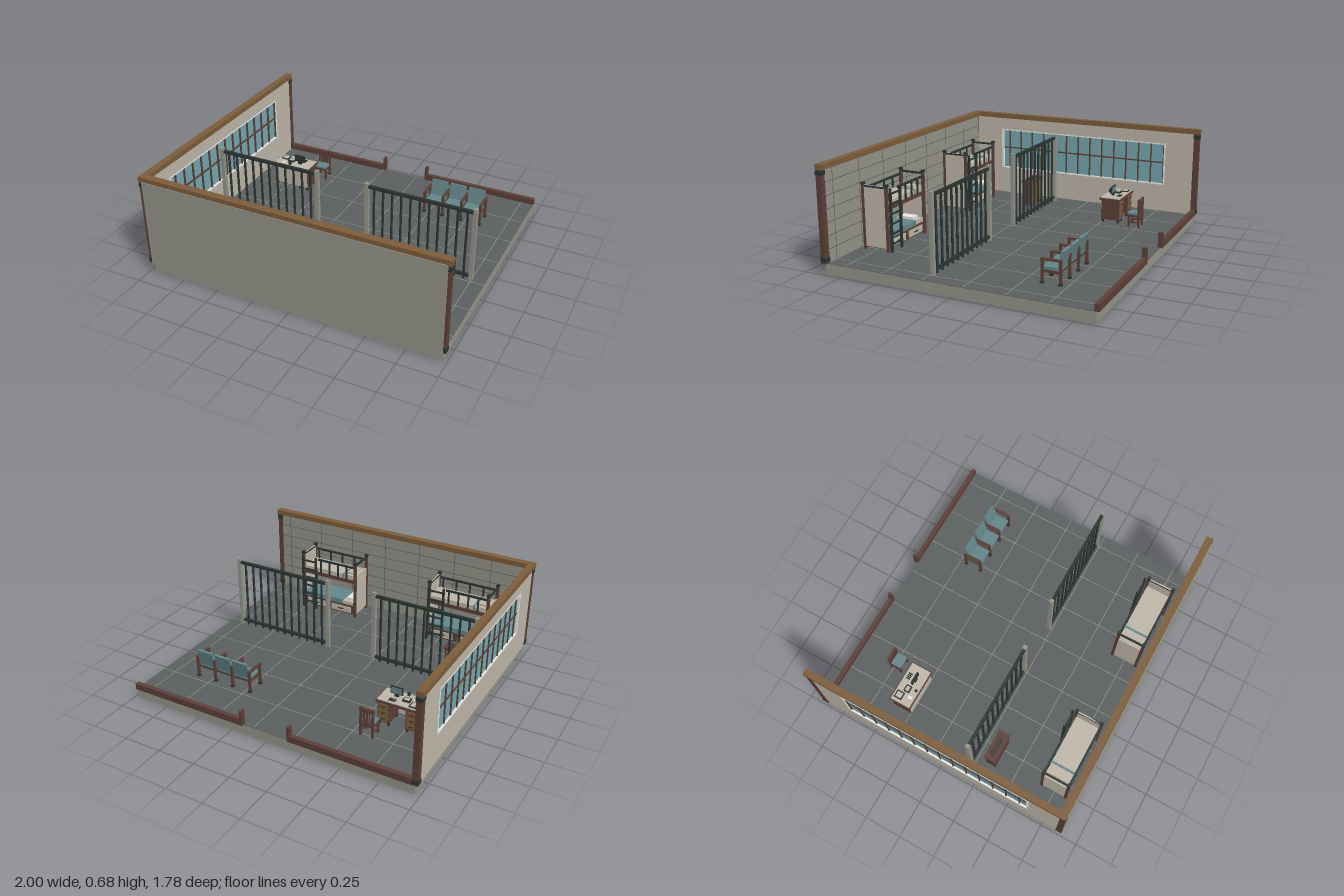
import * as THREE from 'three';

const paint = (name, color) => Object.assign(new THREE.MeshStandardMaterial({ color }), { name });
const concrete = paint('concrete', 0x96958a);
const plaster = paint('plaster', 0xbfb7a9);
const oak = paint('oak', 0x7c5d3b);
const darkWood = paint('dark wood', 0x5c4038);
const metal = paint('dark metal', 0x2b3534);
const glass = paint('glass', 0x76a8af);
const cushion = paint('teal cushion', 0x64878a);
const floorGrey = paint('floor grey', 0x5c6060);
const white = paint('white', 0xf2f2f0);

// Box from its limits along x, y and z
function box(parent, name, mat, x0, x1, y0, y1, z0, z1) {
  const mesh = new THREE.Mesh(new THREE.BoxGeometry(x1 - x0, y1 - y0, z1 - z0), mat);
  mesh.position.set((x0 + x1) / 2, (y0 + y1) / 2, (z0 + z1) / 2);
  mesh.name = name;
  parent.add(mesh);
  return mesh;
}

// Upright square post centred on x, z
const post = (p, name, mat, x, z, y0, y1, w) => box(p, name, mat, x - w / 2, x + w / 2, y0, y1, z - w / 2, z + w / 2);

function part(parent, name) {
  const g = new THREE.Group();
  g.name = name;
  parent.add(g);
  return g;
}

const F = 0.07; // floor level

function buildFloor(root) {
  const g = part(root, 'floor');
  box(g, 'slab', concrete, -0.97, 0.975, 0, F - 0.003, -0.87, 0.866);
  box(g, 'floorSurface', floorGrey, -0.97, 0.975, F - 0.003, F, -0.87, 0.866);
  for (let x = -0.706; x < 0.95; x += 0.2655) box(g, 'floorJoint', concrete, x - 0.002, x + 0.002, F, F + 0.001, -0.86, 0.845);
  for (let z = -0.604; z < 0.8; z += 0.266) box(g, 'floorJoint', concrete, -0.96, 0.975, F, F + 0.001, z - 0.002, z + 0.002);
}

function buildWalls(root) {
  const g = part(root, 'walls');
  // Front wall with block joints on the inside
  box(g, 'frontWall', concrete, -0.972, 0.978, F, 0.655, 0.848, 0.889);
  for (let y = 0.155; y < 0.64; y += 0.083) box(g, 'wallJoint', floorGrey, -0.955, 0.96, y - 0.002, y + 0.002, 0.847, 0.849);
  for (let x = -0.706; x < 0.95; x += 0.2655) box(g, 'wallJoint', floorGrey, x - 0.002, x + 0.002, F, 0.65, 0.847, 0.849);
  // Side wall around the window opening
  const X0 = -0.988, X1 = -0.958;
  box(g, 'wallBelowWindow', plaster, X0, X1, F, 0.263, -0.87, 0.85);
  box(g, 'wallAboveWindow', plaster, X0, X1, 0.565, 0.655, -0.87, 0.85);
  box(g, 'wallBesideWindow', plaster, X0, X1, 0.263, 0.565, 0.645, 0.85);
  box(g, 'wallBesideWindow', plaster, X0, X1, 0.263, 0.565, -0.87, -0.65);
  // Beams along the tops
  box(g, 'sideBeam', oak, -0.998, -0.955, 0.65, 0.684, -0.89, 0.885);
  box(g, 'frontBeam', oak, -0.955, 0.998, 0.65, 0.684, 0.837, 0.885);
  // Corner posts with brackets
  for (const [x, z] of [[-0.973, -0.868], [-0.973, 0.866], [0.977, 0.866]]) {
    post(g, 'cornerPost', darkWood, x, z, F, 0.65, 0.037);
    post(g, 'bracket', metal, x, z, 0.617, 0.643, 0.042);
    post(g, 'bracket', metal, x, z, 0.08, 0.107, 0.042);
  }
  // Low rear kerb with an entrance gap
  for (const [x0, x1, xp] of [[-0.955, -0.155, -0.163], [0.16, 0.975, 0.168]]) {
    box(g, 'rearKerb', darkWood, x0, x1, F - 0.002, 0.11, -0.886, -0.857);
    box(g, 'entrancePost', darkWood, xp - 0.009, xp + 0.009, F, 0.17, -0.888, -0.855);
  }
}

function buildWindow(root) {
  const g = part(root, 'window');
  const x0 = -0.99, x1 = -0.956;
  box(g, 'pane', glass, -0.977, -0.969, 0.265, 0.563, -0.648, 0.643);
  for (const [y0, y1] of [[0.263, 0.272], [0.556, 0.565]]) box(g, 'frameRail', white, x0, x1, y0, y1, -0.65, 0.645);
  for (const [z0, z1] of [[-0.65, -0.638], [0.63, 0.645]]) box(g, 'frameStile', white, x0, x1, 0.272, 0.556, z0, z1);
  for (let i = 0; i < 14; i++) {
    const z = 0.58 - i * 0.0935;
    box(g, 'mullion', darkWood, -0.985, -0.958, 0.27, 0.562, z - 0.004, z + 0.004);
  }
  box(g, 'transom', darkWood, -0.984, -0.959, 0.421, 0.429, -0.648, 0.625);
}

// Barred partition from x0 to x1
function buildBars(root, x0, x1) {
  const g = part(root, 'barredPartition');
  const z = 0.172, n = 12;
  for (const x of [x0 + 0.012, x1 - 0.012]) post(g, 'endPost', concrete, x, z, F, 0.575, 0.025);
  for (const y of [0.1, 0.55]) box(g, 'rail', metal, x0 + 0.02, x1 - 0.02, y - 0.009, y + 0.009, z - 0.01, z + 0.01);
  for (let i = 1; i < n; i++) {
    const bar = new THREE.Mesh(new THREE.CylinderGeometry(0.008, 0.008, 0.49, 8), metal);
    bar.position.set(x0 + (x1 - x0) * i / n, F + 0.245, z);
    bar.name = 'bar';
    g.add(bar);
  }
}

function buildBunk(root, x) {
  const g = part(root, 'bunkBed');
  g.position.x = x;
  const L = 0.213, z0 = 0.635, z1 = 0.805;
  for (const px of [-L, L]) {
    for (const z of [z0, z1]) {
      post(g, 'bedPost', darkWood, px, z, F, 0.49, 0.018);
      post(g, 'postCap', metal, px, z, 0.488, 0.503, 0.022);
    }
    box(g, 'endPanel', plaster, px - 0.005, px + 0.005, 0.09, px > 0 ? 0.487 : 0.4, z0 + 0.008, z1 - 0.008);
    box(g, 'endRail', metal, px - 0.006, px + 0.006, 0.475, 0.487, z0, z1);
  }
  // Lower bunk with drawers
  box(g, 'lowerFrame', darkWood, -L, L, 0.085, 0.155, z0, z1);
  box(g, 'lowerMattress', plaster, -0.2, 0.2, 0.155, 0.18, z0 + 0.003, z1 - 0.003);
  box(g, 'lowerBlanket', cushion, -0.11, 0.203, 0.153, 0.187, z0, z1);
  box(g, 'lowerPillow', white, -0.19, -0.13, 0.18, 0.197, z0 + 0.035, z1 - 0.035);
  for (const dx of [-0.1, 0.1]) {
    box(g, 'drawerFront', plaster, dx - 0.08, dx + 0.08, 0.095, 0.14, z0 - 0.006, z0);
    box(g, 'drawerPull', metal, dx - 0.02, dx + 0.02, 0.115, 0.122, z0 - 0.011, z0 - 0.006);
  }
  // Upper bunk
  box(g, 'upperFrame', darkWood, -L, L, 0.335, 0.36, z0, z1);
  box(g, 'upperMattress', plaster, -0.203, 0.205, 0.36, 0.392, z0 + 0.006, z1 - 0.01);
  box(g, 'blanketFold', cushion, -0.122, -0.108, 0.36, 0.395, z0 + 0.004, z1 - 0.008);
  box(g, 'upperPillow', plaster, -0.187, -0.135, 0.392, 0.406, z0 + 0.03, z1 - 0.035);
  // Guard rails
  for (const z of [z0, z1]) {
    const end = z === z0 ? 0.09 : L;
    box(g, 'guardRail', metal, -L, end, 0.455, 0.468, z - 0.006, z + 0.006);
    for (let i = 1; i < 5; i++) post(g, 'guardPost', metal, -L + (end + L) * i / 4.3, z, 0.36, 0.46, 0.01);
  }
  // Ladder
  for (const dx of [0.098, 0.205]) box(g, 'ladderRail', metal, dx - 0.006, dx + 0.006, F, 0.48, 0.604, 0.62);
  for (let y = 0.12; y < 0.48; y += 0.065) box(g, 'ladderRung', metal, 0.098, 0.205, y - 0.005, y + 0.005, 0.607, 0.617);
}

function buildBench(root) {
  const g = part(root, 'waitingSeats');
  box(g, 'seatBeam', darkWood, 0.325, 0.72, 0.135, 0.15, -0.55, -0.45);
  for (let i = 0; i < 4; i++) {
    const x = 0.323 + i * 0.133;
    post(g, 'frontLeg', darkWood, x, -0.446, F, 0.215, 0.015);
    post(g, 'rearLeg', darkWood, x, -0.56, F, 0.215, 0.015);
    for (const z of [-0.446, -0.56]) post(g, 'foot', metal, x, z, F, 0.082, 0.021);
    box(g, 'armrest', darkWood, x - 0.009, x + 0.009, 0.21, 0.222, -0.568, -0.438);
  }
  for (let i = 0; i < 3; i++) {
    const x = 0.3895 + i * 0.133;
    box(g, 'seatCushion', cushion, x - 0.056, x + 0.056, 0.148, 0.167, -0.55, -0.442);
    box(g, 'backCushion', cushion, x - 0.056, x + 0.056, 0.165, 0.272, -0.561, -0.545).rotation.x = -0.2;
  }
}

function buildDesk(root) {
  const g = part(root, 'desk');
  const x0 = -0.8, x1 = -0.517, z0 = -0.472, z1 = -0.322;
  box(g, 'deskTop', darkWood, x0, x1, 0.226, 0.241, z0, z1);
  box(g, 'deskSurface', plaster, x0 + 0.006, x1 - 0.006, 0.241, 0.245, z0 + 0.006, z1 - 0.006);
  box(g, 'frontPanel', plaster, x0 + 0.015, x1 - 0.015, 0.095, 0.226, z1 - 0.016, z1 - 0.008);
  for (const a of [x0 + 0.01, x1 - 0.09]) {
    box(g, 'pedestal', darkWood, a, a + 0.08, 0.09, 0.226, z0 + 0.01, z1 - 0.012);
    for (let i = 0; i < 3; i++) {
      const y = 0.1 + i * 0.042;
      box(g, 'drawerFront', oak, a + 0.007, a + 0.073, y, y + 0.034, z0 + 0.004, z0 + 0.01);
      box(g, 'drawerPull', metal, a + 0.028, a + 0.052, y + 0.014, y + 0.02, z0, z0 + 0.004);
    }
    for (const lx of [a + 0.01, a + 0.07]) for (const z of [z0 + 0.02, z1 - 0.022]) post(g, 'deskFoot', metal, lx, z, F, 0.09, 0.014);
  }
  // Things on the desk
  box(g, 'folder', metal, -0.775, -0.722, 0.245, 0.25, -0.455, -0.4);
  box(g, 'paper', plaster, -0.767, -0.73, 0.25, 0.252, -0.447, -0.408);
  box(g, 'screen', metal, -0.655, -0.575, 0.262, 0.31, -0.392, -0.382);
  box(g, 'screenFace', cushion, -0.65, -0.58, 0.267, 0.305, -0.394, -0.392);
  box(g, 'screenStand', metal, -0.628, -0.602, 0.245, 0.265, -0.395, -0.378);
  box(g, 'tray', metal, -0.712, -0.665, 0.245, 0.256, -0.42, -0.38);
  box(g, 'trayPaper', plaster, -0.705, -0.672, 0.256, 0.258, -0.412, -0.388);
  box(g, 'notepad', white, -0.742, -0.722, 0.245, 0.249, -0.372, -0.345);
  for (let i = 0; i < 4; i++) box(g, 'keyRow', metal, -0.632 + i * 0.012, -0.624 + i * 0.012, 0.245, 0.249, -0.45, -0.422);
  post(g, 'cup', metal, -0.675, -0.345, 0.245, 0.268, 0.014);
}

function buildChair(root) {
  const g = part(root, 'deskChair');
  for (const x of [-0.574, -0.496]) {
    post(g, 'frontLeg', darkWood, x, -0.545, F, 0.155, 0.013);
    post(g, 'rearLeg', darkWood, x, -0.614, F, 0.267, 0.014);
    box(g, 'sideRail', darkWood, x - 0.005, x + 0.005, 0.1, 0.11, -0.614, -0.545);
  }
  box(g, 'seatFrame', darkWood, -0.58, -0.49, 0.142, 0.156, -0.62, -0.538);
  box(g, 'seatCushion', cushion, -0.577, -0.493, 0.156, 0.168, -0.607, -0.536);
  box(g, 'topRail', darkWood, -0.582, -0.488, 0.24, 0.262, -0.622, -0.607);
  for (const x of [-0.552, -0.535, -0.518]) box(g, 'backSlat', darkWood, x - 0.005, x + 0.005, 0.156, 0.24, -0.618, -0.61);
}

function buildCabinet(root) {
  const g = part(root, 'cabinet');
  box(g, 'cabinetBody', darkWood, -0.83, -0.648, 0.09, 0.25, 0.253, 0.323);
  box(g, 'cabinetTop', darkWood, -0.84, -0.638, 0.25, 0.262, 0.247, 0.328);
  for (let i = 0; i < 9; i++) box(g, 'ventSlot', metal, -0.8 + i * 0.014, -0.793 + i * 0.014, 0.262, 0.264, 0.27, 0.305);
  for (const x of [-0.782, -0.696]) {
    box(g, 'cabinetDoor', oak, x - 0.039, x + 0.039, 0.1, 0.24, 0.247, 0.253);
  }
  box(g, 'doorHandle', metal, -0.75, -0.728, 0.16, 0.185, 0.24, 0.247);
  for (const x of [-0.82, -0.658]) for (const z of [0.263, 0.313]) post(g, 'cabinetFoot', metal, x, z, F, 0.09, 0.016);
}

export function createModel() {
  const root = new THREE.Group();
  root.name = 'cellRoom';
  buildFloor(root);
  buildWalls(root);
  buildWindow(root);
  buildBars(root, -0.89, -0.16);
  buildBars(root, 0.165, 0.895);
  buildBunk(root, -0.567);
  buildBunk(root, 0.433);
  buildBench(root);
  buildDesk(root);
  buildChair(root);
  buildCabinet(root);
  return root;
}
